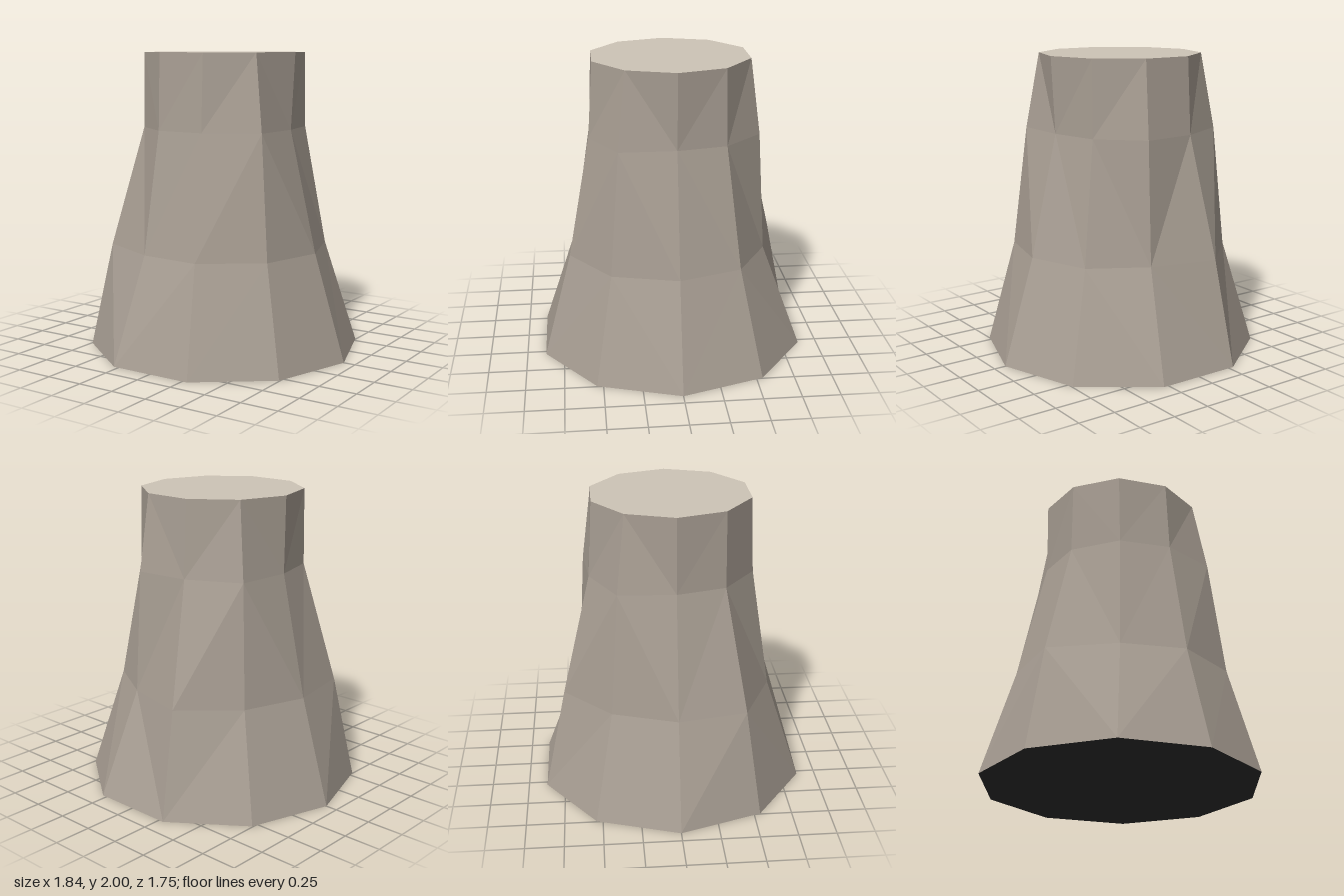
import * as THREE from 'three';

// Horizontal rings of ten corners [x, z], starting at +x and turning towards +z
const regular = (rx, rz) => Array.from({ length: 10 }, (_, i) => {
  const a = (i * Math.PI) / 5;
  return [rx * Math.cos(a), rz * Math.sin(a)];
});

const rings = [
  { y: 0, pts: regular(0.92, 0.92) },
  { y: 0.7, pts: [[0.7, 0], [0.59, 0.43], [0.22, 0.69], [-0.2, 0.65], [-0.625, 0.45],
    [-0.71, 0], [-0.57, -0.42], [-0.24, -0.73], [0.2, -0.62], [0.56, -0.41]] },
  { y: 1.5, pts: [[0.51, 0], [0.51, 0.37], [0.175, 0.545], [-0.165, 0.53], [-0.44, 0.32],
    [-0.53, 0], [-0.51, -0.37], [-0.17, -0.54], [0.19, -0.575], [0.44, -0.325]] },
  { y: 2, pts: regular(0.538, 0.538) },
];

// Fold of each quad: a = upper i to lower i+1, b = upper i+1 to lower i
const folds = ['baabababba', 'baababaabb', 'baabababaa'];

function facets(positions, material, name) {
  const geo = new THREE.BufferGeometry();
  geo.setAttribute('position', new THREE.Float32BufferAttribute(positions, 3));
  geo.computeVertexNormals();
  const mesh = new THREE.Mesh(geo, material);
  mesh.name = name;
  return mesh;
}

export function createModel() {
  const stone = new THREE.MeshStandardMaterial({ color: 0xa89e93 });
  stone.name = 'stone';
  const paleStone = new THREE.MeshStandardMaterial({ color: 0xcdc4b6 });
  paleStone.name = 'pale stone';
  const dark = new THREE.MeshStandardMaterial({ color: 0x2e2e2e });
  dark.name = 'dark underside';

  const at = (r, i) => {
    const [x, z] = rings[r].pts[i % 10];
    return [x, rings[r].y, z];
  };

  // Rough faceted side wall
  const wall = [];
  for (let r = 0; r < 3; r++) {
    for (let i = 0; i < 10; i++) {
      const l0 = at(r, i), l1 = at(r, i + 1), u0 = at(r + 1, i), u1 = at(r + 1, i + 1);
      const tris = folds[r][i] === 'a' ? [l0, u0, l1, u0, u1, l1] : [l0, u0, u1, l0, u1, l1];
      wall.push(...tris.flat());
    }
  }

  // Flat ends
  const top = [], bottom = [];
  for (let i = 0; i < 10; i++) {
    top.push(0, 2, 0, ...at(3, i + 1), ...at(3, i));
    bottom.push(0, 0, 0, ...at(0, i), ...at(0, i + 1));
  }

  const group = new THREE.Group();
  group.name = 'stonePedestal';
  group.add(
    facets(wall, stone, 'sideWall'),
    facets(top, paleStone, 'topFace'),
    facets(bottom, dark, 'underside'),
  );
  return group;
}
